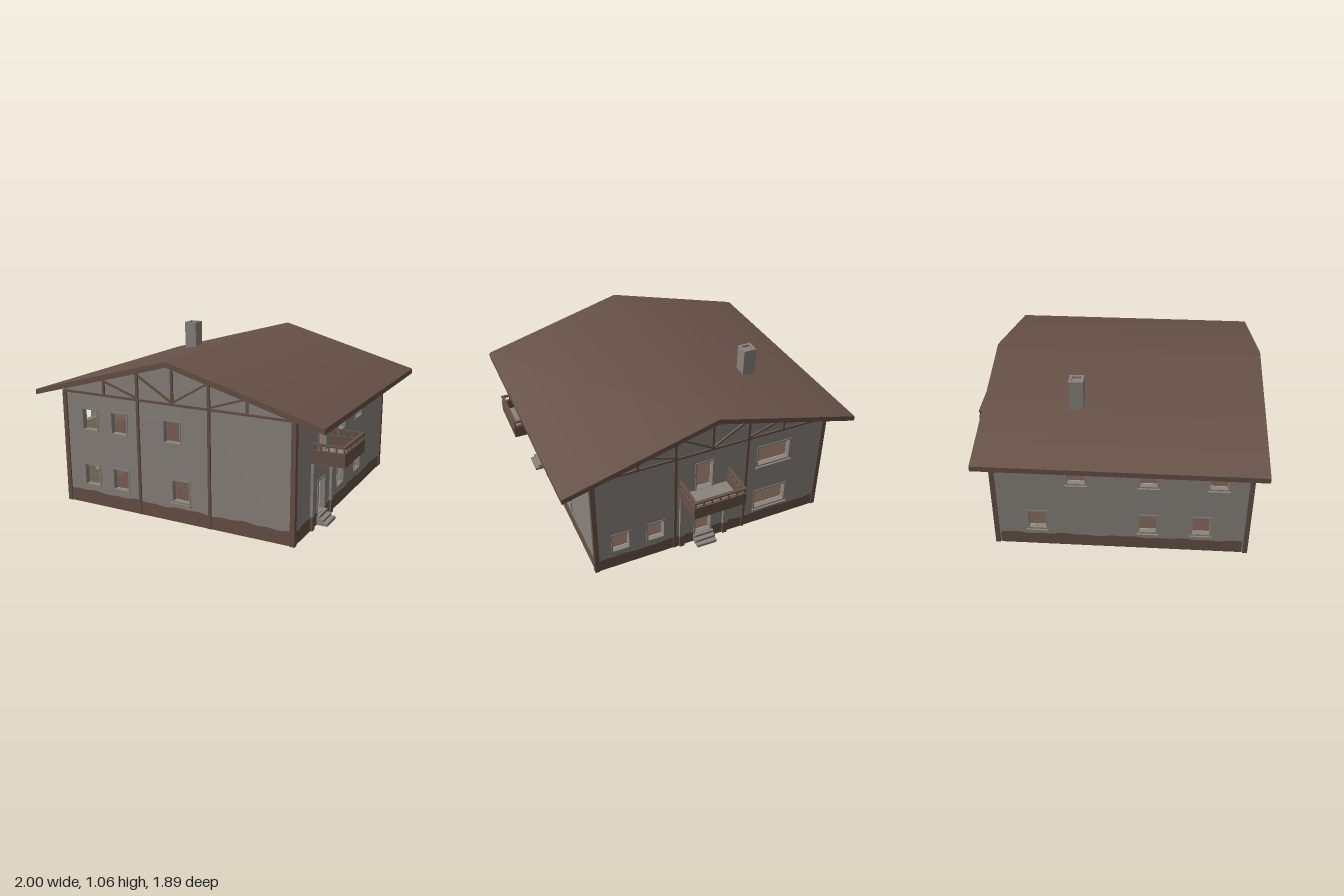
import * as THREE from 'three';
import { toCreasedNormals } from 'three/addons/utils/BufferGeometryUtils.js';

const X0 = -0.82, X1 = 0.792, Z0 = -0.727, Z1 = 0.88; // outer wall planes
const RIDGE_X = -0.003, SLOPE = 0.272, T = 0.03;
const underRoof = (x) => 0.98 - SLOPE * Math.abs(x - RIDGE_X);

const paint = (name, color) => {
  const m = new THREE.MeshStandardMaterial({ color });
  m.name = name;
  return m;
};

export function createModel() {
  const house = new THREE.Group();
  house.name = 'house';
  const plaster = paint('greyPlaster', 0x8a837d);
  const timber = paint('brownTimber', 0x675147);
  const interior = paint('tanInterior', 0xbfac92);

  const add = (parent, name, geometry, material) => {
    const mesh = new THREE.Mesh(geometry, material);
    mesh.name = name;
    parent.add(mesh);
    return mesh;
  };
  // box given by its minimum and maximum corners
  const box = (parent, name, mat, x0, x1, y0, y1, z0, z1) => {
    const mesh = add(parent, name, new THREE.BoxGeometry(x1 - x0, y1 - y0, z1 - z0), mat);
    mesh.position.set((x0 + x1) / 2, (y0 + y1) / 2, (z0 + z1) / 2);
    return mesh;
  };
  // flat bar between two points of a facade
  const bar = (parent, name, x0, y0, x1, y1, w) => {
    const length = Math.hypot(x1 - x0, y1 - y0);
    const mesh = add(parent, name, new THREE.BoxGeometry(length, w, 0.014), timber);
    mesh.position.set((x0 + x1) / 2, (y0 + y1) / 2, 0.003);
    mesh.rotation.z = Math.atan2(y1 - y0, x1 - x0);
  };
  const polygon = (pts) => new THREE.Shape(pts.map((p) => new THREE.Vector2(p[0], p[1])));
  const rect = (u0, u1, y0, y1) => [[u0, y0], [u1, y0], [u1, y1], [u0, y1]];
  const extrude = (shape, depth, z) =>
    new THREE.ExtrudeGeometry(shape, { depth, bevelEnabled: false }).translate(0, 0, z);

  // One facade in its own frame: u to the right seen from outside, z outward.
  // Each opening is [u0, u1, y0, y1, hasSill]; the lining stops short of the ends by inset.
  function facade(name, angle, x, z, outline, inset, openings) {
    const g = new THREE.Group();
    g.name = name;
    g.position.set(x, 0, z);
    g.rotation.y = angle;
    house.add(g);
    const a = outline[0][0], b = outline[1][0], n = 80;
    const pierced = (pts) => {
      const shape = polygon(pts);
      openings.forEach((o) => shape.holes.push(polygon(rect(o[0], o[1], o[2], o[3]))));
      return shape;
    };
    const inner = outline.map(([u, y]) => [THREE.MathUtils.clamp(u, a + inset, b - inset), y]);
    add(g, 'wall', extrude(pierced(outline), T, -T), plaster);
    add(g, 'wallLining', extrude(pierced(inner), 0.004, -T - 0.004), interior);

    // frames and sills
    for (const [u0, u1, y0, y1, sill] of openings) {
      const f = 0.01;
      const frame = polygon(rect(u0 - f, u1 + f, y0 - f, y1 + f));
      frame.holes.push(polygon(rect(u0, u1, y0, y1)));
      add(g, 'openingFrame', extrude(frame, 0.005, 0), plaster);
      if (sill) box(g, 'windowSill', plaster, u0 - 0.015, u1 + 0.015, y0 - 0.024, y0 - 0.01, 0, 0.018);
    }

    // plinth with an uneven top edge, cut down at the doors
    const edge = [[a, 0], [b, 0]];
    for (let i = n; i >= 0; i--) {
      const u = a + ((b - a) * i) / n;
      const atDoor = openings.some((o) => o[2] < 0.1 && u > o[0] - 0.012 && u < o[1] + 0.012);
      edge.push([u, atDoor ? 0.06 : 0.088 + 0.004 * Math.sin(u * 17) + 0.003 * Math.sin(u * 41 + 1)]);
    }
    add(g, 'plinth', extrude(polygon(edge), 0.003, 0), timber);
    return g;
  }

  const gable = (s) => {
    const ends = s > 0 ? [X0, X1] : [-X1, -X0];
    return [[ends[0], 0.004], [ends[1], 0.004], [ends[1], underRoof(s * ends[1])],
      [s * RIDGE_X, 0.98], [ends[0], underRoof(s * ends[0])]];
  };

  const front = facade('frontFacade', 0, 0, Z1, gable(1), T, [
    [-0.677, -0.567, 0.505, 0.637], [-0.453, -0.343, 0.505, 0.637], [-0.067, 0.043, 0.505, 0.637],
    [-0.677, -0.567, 0.135, 0.267], [-0.453, -0.343, 0.135, 0.267], [-0.012, 0.103, 0.135, 0.267, true],
  ]);
  const back = facade('backFacade', Math.PI, 0, Z0, gable(-1), T, [
    [-0.675, -0.565, 0.135, 0.267], [-0.435, -0.325, 0.135, 0.267],
    [-0.1, 0.01, 0.446, 0.652], [-0.1, 0.01, 0.065, 0.275],
    [0.338, 0.565, 0.5, 0.642, true], [0.338, 0.565, 0.13, 0.272, true],
  ]);
  const right = facade('rightFacade', Math.PI / 2, X1, 0, rect(-Z1 + T, -Z0 - T, 0.004, 0.757), 0, [
    [-0.52, -0.41, 0.446, 0.652], [-0.52, -0.41, 0.065, 0.275],
    [-0.19, -0.075, 0.508, 0.645], [-0.19, -0.075, 0.135, 0.267],
    [0.145, 0.255, 0.508, 0.64], [0.145, 0.255, 0.135, 0.267],
  ]);
  facade('leftFacade', -Math.PI / 2, X0, 0, rect(Z0 + T, Z1 - T, 0.004, 0.757), 0, [
    [-0.255, -0.145, 0.505, 0.64, true], [0.195, 0.3, 0.505, 0.64, true], [0.62, 0.73, 0.505, 0.64, true],
    [-0.51, -0.4, 0.135, 0.267, true], [0.195, 0.3, 0.135, 0.267, true], [0.53, 0.64, 0.135, 0.267, true],
  ]);

  // timber framing on both gables
  for (const [g, s] of [[front, 1], [back, -1]]) {
    const beam = (name, xa, ya, xb, yb, w) => bar(g, name, s * xa, ya, s * xb, yb, w);
    beam('tieBeam', X0, 0.745, X1, 0.745, 0.014);
    beam('kingPost', RIDGE_X, 0.745, RIDGE_X, 0.98, 0.016);
    for (const m of [1, -1]) {
      const at = (d) => RIDGE_X + m * d;
      beam('wallPost', at(0.25), 0.002, at(0.25), 0.91, 0.018);
      beam('queenPost', at(0.5), 0.745, at(0.5), 0.842, 0.014);
      beam('brace', at(0.25), 0.902, at(0), 0.755, 0.012);
      beam('brace', at(0.5), 0.837, at(0.25), 0.755, 0.012);
    }
  }
  // corner posts
  for (const x of [X0 + 0.006, X1 - 0.006])
    for (const z of [Z0 + 0.006, Z1 - 0.006])
      box(house, 'cornerPost', timber, x - 0.015, x + 0.015, 0, 0.75, z - 0.015, z + 0.015);

  // balcony over a door with pillars and steps
  function balcony(g, u, w, d) {
    const b = new THREE.Group();
    b.name = 'balcony';
    b.position.x = u;
    g.add(b);
    const h = w / 2, t = 0.02;
    box(b, 'balconyFloor', plaster, -h + 0.002, h - 0.002, 0.428, 0.445, 0, d - 0.002);
    for (const [name, y0, y1] of [['parapet', 0.43, 0.514], ['handrail', 0.543, 0.554]]) {
      box(b, name, timber, -h, h, y0, y1, d - t, d);
      box(b, name, timber, -h, -h + t, y0, y1, 0, d - t);
      box(b, name, timber, h - t, h, y0, y1, 0, d - t);
    }
    const baluster = (x, z) => box(b, 'baluster', timber, x - 0.004, x + 0.004, 0.514, 0.543, z - 0.004, z + 0.004);
    for (let i = 0; i <= 6; i++) baluster((i / 6 - 0.5) * (w - t), d - t / 2);
    for (let i = 0; i < 4; i++) for (const s of [1, -1]) baluster(s * (h - t / 2), 0.01 + (i / 4) * (d - t));
    for (const s of [1, -1]) {
      box(b, 'pillar', plaster, s * 0.157 - 0.017, s * 0.157 + 0.017, 0.09, 0.428, 0, 0.018);
      box(b, 'pillarBase', timber, s * 0.157 - 0.017, s * 0.157 + 0.017, 0.002, 0.09, 0, 0.018);
    }
    for (let i = 0; i < 3; i++)
      box(b, 'step', plaster, -0.07, 0.07, i * 0.021 + 0.002, (i + 1) * 0.021, 0, 0.074 - i * 0.026);
  }
  balcony(right, -0.465, 0.355, 1 - X1);
  balcony(back, -0.043, 0.355, 0.95 + Z0);

  // roof, shaded smoothly across the ridge
  const roof = polygon([[-1, 0.71], [RIDGE_X, 0.98], [0.988, 0.71], [0.988, 0.744], [RIDGE_X, 1.014], [-1, 0.744]]);
  const roofGeometry = toCreasedNormals(extrude(roof, 1.745, -0.8), 0.2);
  const { position, normal } = roofGeometry.attributes;
  for (let i = 0; i < position.count; i++)
    if (position.getY(i) > 1 && Math.abs(normal.getZ(i)) < 0.5)
      normal.setXYZ(i, Math.sign(normal.getX(i)) * 0.03, 0.9995, 0);
  add(house, 'roof', roofGeometry, timber);

  // chimney with a recessed flue
  const stack = polygon(rect(-0.045, 0.045, -0.045, 0.045));
  stack.holes.push(polygon(rect(-0.028, 0.028, -0.028, 0.028)));
  const chimney = add(house, 'chimney', extrude(stack, 0.225, 0).rotateX(-Math.PI / 2), plaster);
  chimney.position.set(-0.505, 0.84, -0.215);
  box(house, 'flue', plaster, -0.534, -0.476, 0.86, 1.05, -0.244, -0.186);

  // floors with plastered ceilings, partition and stair rail inside
  const storey = [timber, timber, timber, plaster, timber, timber];
  box(house, 'groundFloor', timber, X0, X1, 0.001, 0.012, Z0, Z1);
  box(house, 'upperFloor', storey, X0 + T, X1 - T, 0.39, 0.41, Z0 + T, Z1 - T);
  box(house, 'atticFloor', storey, X0 + T, X1 - T, 0.725, 0.74, Z0 + T, Z1 - T);
  box(house, 'partition', interior, -0.28, 0.2, 0.012, 0.725, -0.37, -0.35);
  const rail = box(house, 'stairRail', timber, 0.4, 0.42, 0.195, 0.215, -0.238, -0.032);
  rail.rotation.x = -0.6;
  box(house, 'stairPost', timber, 0.4, 0.42, 0.012, 0.15, -0.225, -0.21);

  // bare patches on the underside: x, z, size
  const patches = [[0.59, -0.6, 1], [0, -0.36, 1], [-0.54, -0.29, 1.1], [0.6, -0.06, 1], [0.03, -0.05, 1.1],
    [-0.47, 0.55, 1.2], [0.565, 0.63, 1.1], [-0.06, 0.5, 0.8], [0.3, -0.5, 0.35], [0.3, 0.3, 0.35],
    [-0.3, 0.1, 0.4], [-0.65, 0.2, 0.35], [0.2, 0.75, 0.35], [-0.3, -0.6, 0.4]];
  patches.forEach(([x, z, size], k) => {
    const pts = [];
    for (let i = 0; i < 24; i++) {
      const a = (i / 24) * Math.PI * 2;
      const r = size * (0.08 + 0.025 * Math.sin(3 * a + k) + 0.02 * Math.sin(2 * a + 2 * k));
      pts.push([r * Math.cos(a), r * Math.sin(a)]);
    }
    const patch = add(house, 'undersidePatch', new THREE.ShapeGeometry(polygon(pts)).rotateX(Math.PI / 2), plaster);
    patch.position.set(x, 0, z);
  });
  return house;
}
